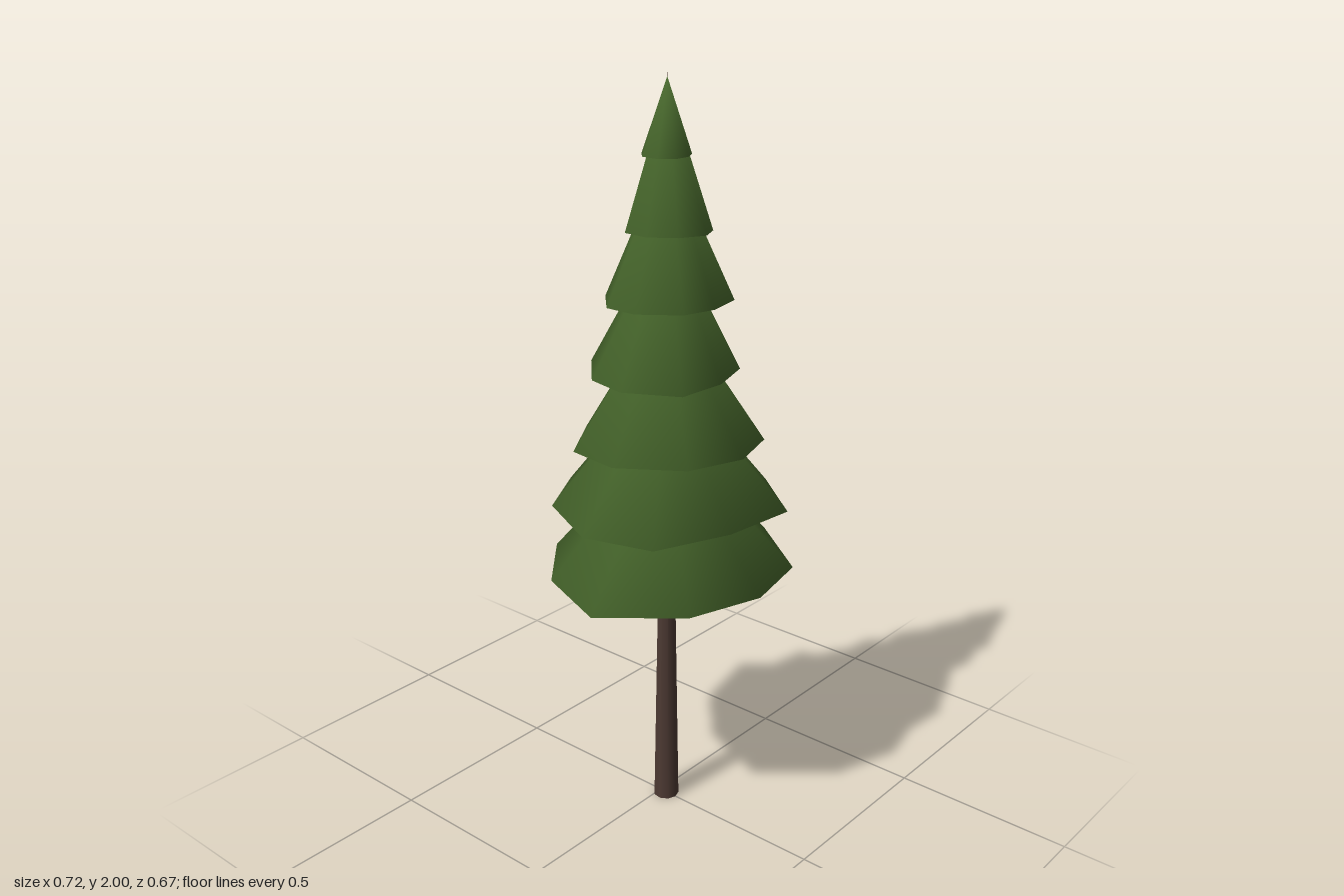
import * as THREE from 'three';

const AXIS_Z = 0.02; // the trunk stands slightly forward of centre
const TOP = 1.985;

// Irregular nine-cornered hems as [x, z], lowest tier first
const HEMS = [
  [[0.13, -0.335], [0.26, -0.165], [0.36, 0.075], [0.2, 0.29], [0, 0.333], [-0.205, 0.267], [-0.36, 0.08], [-0.275, -0.14], [-0.1, -0.29]],
  [[-0.045, -0.285], [0.16, -0.25], [0.28, -0.077], [0.293, 0.125], [0.15, 0.302], [-0.058, 0.28], [-0.26, 0.198], [-0.313, 0.012], [-0.217, -0.187]],
  [[-0.073, -0.194], [0.077, -0.2], [0.236, -0.096], [0.236, 0.063], [0.148, 0.223], [0, 0.268], [-0.15, 0.215], [-0.254, 0.06], [-0.235, -0.088]],
  [[-0.065, -0.181], [0.067, -0.167], [0.154, -0.085], [0.19, 0.044], [0.13, 0.154], [0, 0.196], [-0.138, 0.187], [-0.21, 0.05], [-0.185, -0.067]],
  [[-0.063, -0.13], [0.048, -0.125], [0.13, -0.06], [0.143, 0.038], [0.115, 0.144], [0.012, 0.163], [-0.077, 0.138], [-0.148, 0.042], [-0.148, -0.048]],
  [[-0.035, -0.075], [0.033, -0.07], [0.087, -0.038], [0.11, 0.038], [0.062, 0.115], [0.006, 0.14], [-0.06, 0.106], [-0.104, 0.042], [-0.1, -0.029]],
  [[-0.029, -0.037], [0.013, -0.042], [0.052, -0.02], [0.063, 0.023], [0.048, 0.058], [0.008, 0.08], [-0.035, 0.077], [-0.063, 0.044], [-0.063, -0.004]],
];

// Smooth cone with a hollowed, shallower cone as its underside
function tierGeometry(hem, baseY, apexY, hollowY) {
  const positions = [0, apexY, AXIS_Z, 0, hollowY, AXIS_Z];
  const index = [];
  hem.forEach(([x, z], i) => {
    const corner = 2 + i;
    const next = 2 + ((i + 1) % hem.length);
    positions.push(x, baseY, z);
    index.push(0, next, corner); // outside
    index.push(1, corner, next); // underside
  });
  const geometry = new THREE.BufferGeometry();
  geometry.setAttribute('position', new THREE.Float32BufferAttribute(positions, 3));
  geometry.setIndex(index);
  geometry.computeVertexNormals();
  return geometry;
}

export function createModel() {
  const tree = new THREE.Group();
  tree.name = 'pineTree';

  const bark = new THREE.MeshStandardMaterial({ color: 0x4d3a33 });
  bark.name = 'barkBrown';
  const needles = new THREE.MeshStandardMaterial({ color: 0x4a6b2e });
  needles.name = 'needleGreen';

  // Trunk tapers all the way to the tip of the tree
  const trunk = new THREE.Mesh(new THREE.ConeGeometry(0.035, 2, 9), bark);
  trunk.name = 'trunk';
  trunk.position.set(0, 1, AXIS_Z);
  tree.add(trunk);

  // Overlapping tiers of branches
  const branches = new THREE.Group();
  branches.name = 'branches';
  HEMS.forEach((hem, i) => {
    const baseY = 0.719 + i * 0.1805;
    const apexY = Math.min(baseY + 0.375, TOP - 0.015 * (HEMS.length - 1 - i));
    const tier = new THREE.Mesh(tierGeometry(hem, baseY, apexY, baseY + 0.126), needles);
    tier.name = `branchTier${i + 1}`;
    branches.add(tier);
  });
  tree.add(branches);

  return tree;
}
